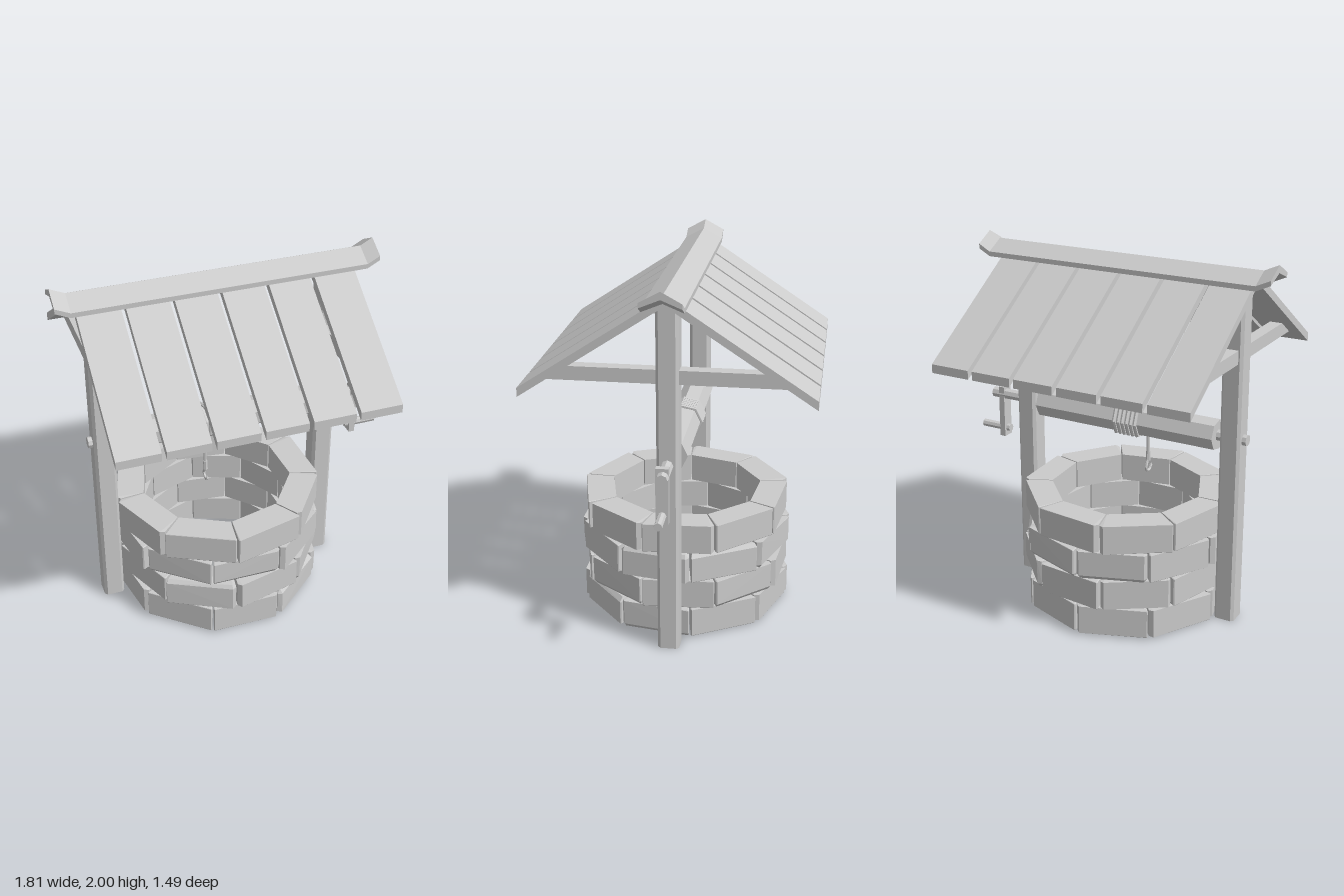
import * as THREE from 'three';
import { ConvexGeometry } from 'three/addons/geometries/ConvexGeometry.js';

const material = new THREE.MeshStandardMaterial({ color: 0xcccccc, flatShading: true });
const CX = -0.062; // middle of the well, beside the crank

function add(parent, name, geometry, x = 0, y = 0, z = 0) {
  const mesh = new THREE.Mesh(geometry, material);
  mesh.name = name;
  mesh.position.set(x, y, z);
  parent.add(mesh);
  return mesh;
}

function subgroup(parent, name) {
  const g = new THREE.Group();
  g.name = name;
  parent.add(g);
  return g;
}

function seeded(seed) {
  return () => (seed = (seed * 16807) % 2147483647) / 2147483647;
}

const polygon = (points) => new THREE.Shape(points.map(([x, y]) => new THREE.Vector2(x, y)));

// Outline in (z, y) pushed along x and centred on x = 0
function extrudeAlongX(points, length) {
  const geo = new THREE.ExtrudeGeometry(polygon(points), { depth: length, bevelEnabled: false });
  return geo.translate(0, 0, -length / 2).rotateY(-Math.PI / 2).scale(1, 1, 1);
}

// Rod along x, with a corner pointing backwards
const rod = (radius, length, sides) =>
  new THREE.CylinderGeometry(radius, radius, length, sides, 1, false, Math.PI).rotateZ(Math.PI / 2);

// Square bar along y with chamfered long edges
function chamferedBar(w, d, length, c) {
  const x = w / 2, z = d / 2;
  const outline = polygon([[-x + c, -z], [x - c, -z], [x, -z + c], [x, z - c],
    [x - c, z], [-x + c, z], [-x, z - c], [-x, -z + c]]);
  return new THREE.ExtrudeGeometry(outline, { depth: length, bevelEnabled: false }).rotateX(-Math.PI / 2);
}

// Wedge-shaped stone centred at angle a; outer corners cut by side, top and bottom bevels
function stone(a, half, inner, outer, y0, y1, sideBevels, topBevel, bottomBevel) {
  const pts = [];
  const put = (angle, r, y) => pts.push(new THREE.Vector3(r * Math.sin(angle), y, r * Math.cos(angle)));
  [-1, 1].forEach((s, i) => {
    const c = sideBevels[i];
    [[y0, bottomBevel], [y1, -topBevel]].forEach(([y, b]) => {
      put(a + s * half, inner, y);
      put(a + s * (half - c / outer), outer - c * 0.25, y + b);
      put(a + s * (half - c / outer), outer - Math.abs(b), y);
      put(a + s * half, outer - c, y + b);
    });
  });
  return new ConvexGeometry(pts);
}

function buildWall(parent) {
  const wall = subgroup(parent, 'stoneWall');
  wall.position.x = CX;
  const rnd = seeded(91);
  const count = 9, step = (Math.PI * 2) / count;
  for (let row = 0; row < 4; row++) {
    const y0 = 0.012 + row * 0.163;
    for (let i = 0; i < count; i++) {
      const a = (row % 2 ? THREE.MathUtils.degToRad(13.5) : 0) + i * step;
      const chips = [rnd() < 0.5 ? 0.006 : 0.022, rnd() < 0.5 ? 0.006 : 0.022];
      let top = rnd() < 0.2 ? 0.02 : 0.003;
      let bottom = rnd() < 0.15 ? 0.02 : 0.003;
      if (row === 2 && i === 0) bottom = 0.035;
      if (row === 0 && i === 1) top = 0.025;
      add(wall, 'stone', stone(a, step / 2 - 0.008, 0.425, 0.577 + rnd() * 0.014,
        y0, y0 + 0.16, chips, top, bottom));
    }
  }
}

function buildFrame(parent) {
  const frame = subgroup(parent, 'frame');
  for (const s of [-1, 1]) {
    const x = CX + s * 0.632;
    add(frame, 'post', chamferedBar(0.115, 0.115, 1.89, 0.015), x);
    // Horizontal braces, cut to the slope of the roof
    for (const side of [-1, 1]) {
      const pts = [[0.03, 1.48], [0.63, 1.48], [0.525, 1.553], [0.03, 1.553]].map(([z, y]) => [side * z, y]);
      add(frame, 'roofBrace', extrudeAlongX(pts, 0.07), x);
    }
  }
}

function buildRoof(parent) {
  const roof = subgroup(parent, 'roof');
  for (let i = 0; i < 6; i++) {
    for (const s of [-1, 1]) {
      const pts = [[0, 1.895], [0.745, 1.405], [0.745, 1.452], [0, 1.942]].map(([z, y]) => [s * z, y]);
      add(roof, 'roofPlank', extrudeAlongX(pts, 0.226), -0.686 + i * 0.2505);
    }
  }

  // Ridge cap: a chevron section carried through four stations, with upturned ends
  const stations = [[-0.905, 0.036], [-0.825, 0], [0.748, 0], [0.815, 0.036]];
  const section = [[0, 1.965], [0.105, 1.908], [0.105, 1.882], [0, 1.925], [-0.105, 1.882], [-0.105, 1.908]];
  const pos = [], idx = [], n = section.length;
  for (const [x, lift] of stations) for (const [z, y] of section) pos.push(x, y + lift, z);
  for (let j = 0; j < stations.length - 1; j++) {
    for (let k = 0; k < n; k++) {
      const a = j * n + k, b = j * n + ((k + 1) % n);
      idx.push(a, b, b + n, a, b + n, a + n);
    }
  }
  const last = (stations.length - 1) * n;
  for (const [a, b, c] of [[0, 2, 1], [0, 3, 2], [0, 4, 3], [0, 5, 4]]) {
    idx.push(a, b, c, last + a, last + c, last + b);
  }
  const geo = new THREE.BufferGeometry();
  geo.setAttribute('position', new THREE.Float32BufferAttribute(pos, 3));
  geo.setIndex(idx);
  geo.computeVertexNormals();
  add(roof, 'ridgeCap', geo);
}

function buildWinch(parent) {
  const winch = subgroup(parent, 'winch');
  const y = 1.055;
  add(winch, 'roller', rod(0.085, 1.09, 7), -0.06, y);
  add(winch, 'axle', rod(0.031, 1.595, 8), 0.0225, y);
  add(winch, 'crankArm', new THREE.BoxGeometry(0.034, 0.3, 0.066), 0.757, 0.95, 0.005);
  add(winch, 'crankHandle', rod(0.022, 0.185, 8), 0.8125, 0.846, 0.005);

  // Rope wound round the roller
  for (let i = 0; i < 6; i++) {
    const coil = add(winch, 'ropeCoil',
      new THREE.TorusGeometry(0.092, 0.011, 6, 7).rotateY(Math.PI / 2), -0.143 + i * 0.0255, y);
    coil.rotation.y = 0.09;
  }

  // Hanging rope, ferrule and hook
  add(winch, 'hangingRope', new THREE.CylinderGeometry(0.009, 0.009, 0.25, 6), -0.145, 0.96, 0.083);
  add(winch, 'hookFerrule', new THREE.CylinderGeometry(0.012, 0.014, 0.055, 6), -0.145, 0.815, 0.085);
  const curve = new THREE.CatmullRomCurve3([[0.8, 0.085], [0.775, 0.07], [0.745, 0.06], [0.727, 0.08],
    [0.73, 0.103], [0.748, 0.116]].map(([py, pz]) => new THREE.Vector3(-0.145, py, pz)));
  add(winch, 'hook', new THREE.TubeGeometry(curve, 10, 0.008, 6));
  add(winch, 'hookTip', new THREE.ConeGeometry(0.009, 0.016, 6), -0.145, 0.754, 0.118);
}

export function createModel() {
  const well = new THREE.Group();
  well.name = 'well';
  buildWall(well);
  buildFrame(well);
  buildRoof(well);
  buildWinch(well);
  return well;
}
